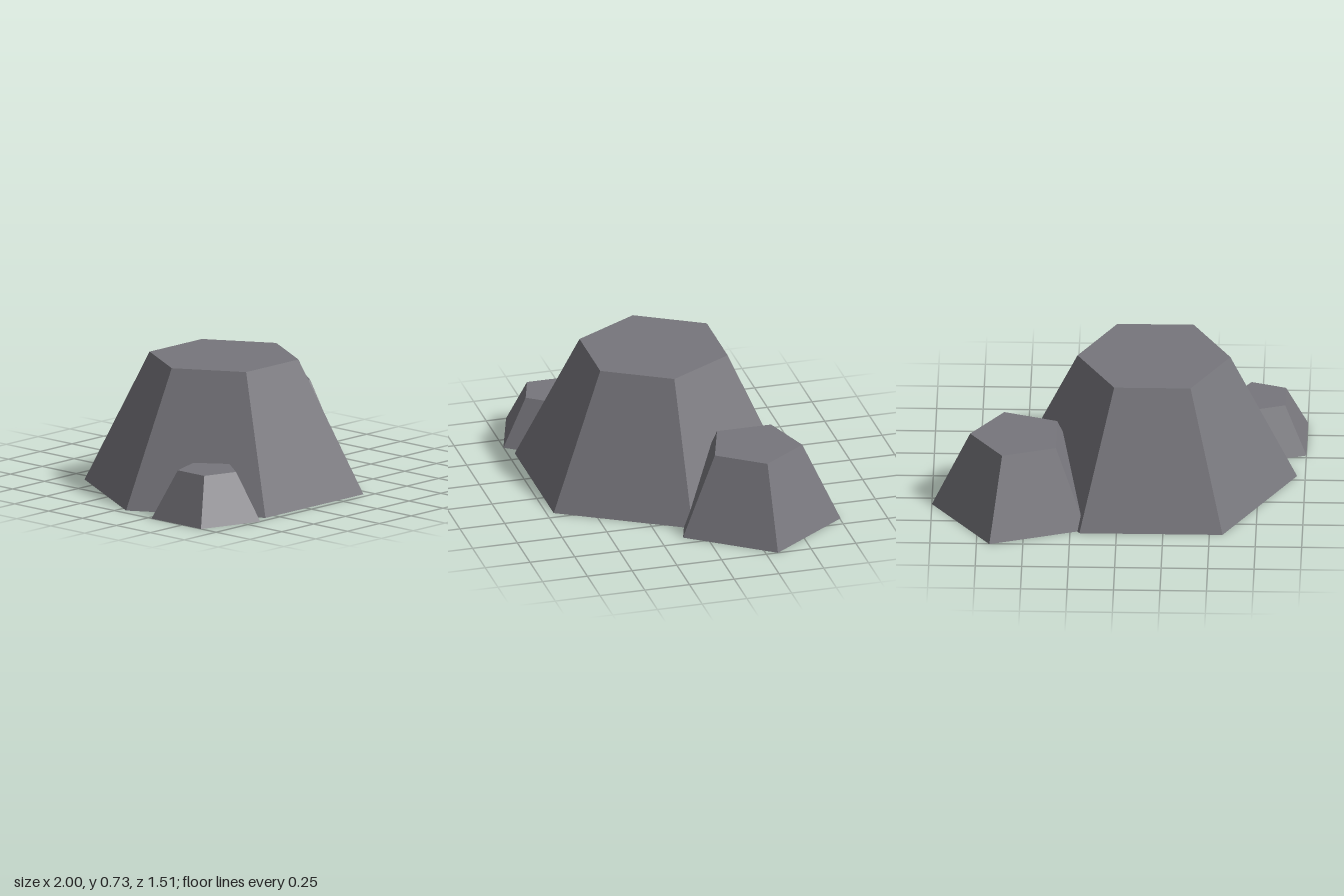
import * as THREE from 'three';

export function createModel() {
  const group = new THREE.Group();
  const stone = new THREE.MeshStandardMaterial({ color: 0x77767c, flatShading: true });
  stone.name = 'greyStone';

  // Tapered faceted boulder with one corner pointing along +x
  function addRock(name, sides, topRadius, baseRadius, height, x, z) {
    const geometry = new THREE.CylinderGeometry(
      topRadius, baseRadius, height, sides, 1, false, Math.PI / 2);
    const rock = new THREE.Mesh(geometry, stone);
    rock.name = name;
    rock.position.set(x, height / 2, z);
    group.add(rock);
  }

  addRock('mainRock', 6, 0.411, 0.77, 0.725, -0.186, 0.045);
  addRock('mediumRock', 5, 0.257, 0.463, 0.435, 0.537, -0.315);
  addRock('smallRock', 5, 0.166, 0.31, 0.26, -0.75, 0.457);

  return group;
}
